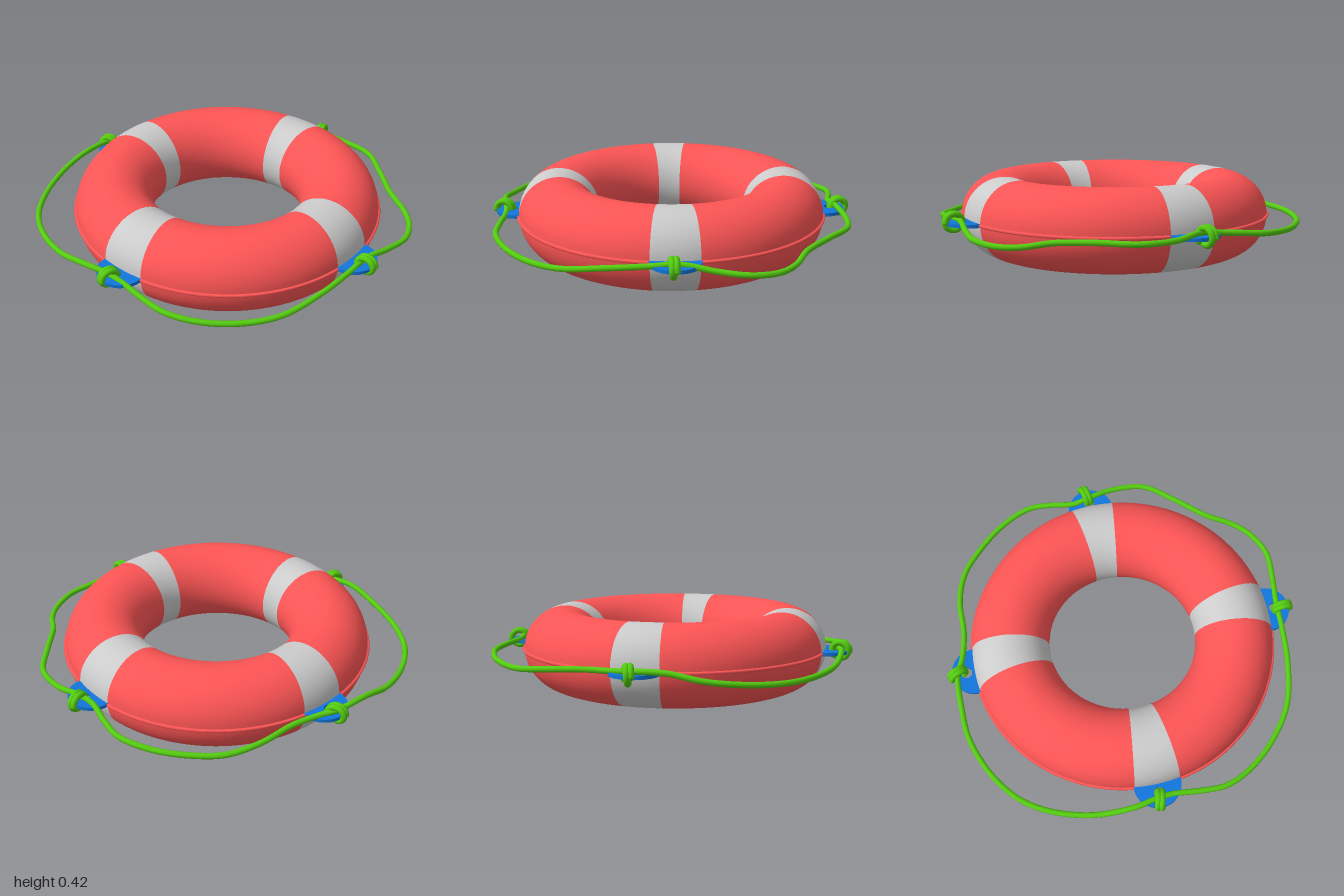
import * as THREE from 'three';

const CX = 0.03, CY = 0.21;      // ring centre
const R = 0.603, r = 0.208;      // ring and tube radius
const rad = THREE.MathUtils.degToRad;

const mat = (color, side = THREE.FrontSide) => new THREE.MeshStandardMaterial({ color, side });
const red = mat(0xff5555, THREE.DoubleSide);
const grey = mat(0xcccccc, THREE.DoubleSide);
const blue = mat(0x1177dd);
const green = mat(0x55cc11);

function add(parent, name, geometry, material) {
  const mesh = new THREE.Mesh(geometry, material);
  mesh.name = name;
  parent.add(mesh);
  return mesh;
}

// Arc of the ring, centred on an angle in degrees
function arc(profile, centre, width, segments) {
  return new THREE.LatheGeometry(profile, segments, rad(centre - width / 2), rad(width));
}

export function createModel() {
  const group = new THREE.Group();
  group.name = 'lifebuoy';

  const ring = new THREE.Group();
  ring.name = 'ring';
  ring.position.set(CX, CY, 0);
  group.add(ring);

  const tube = [];
  for (let i = 0; i <= 48; i++) {
    const t = (i / 48) * Math.PI * 2;
    tube.push(new THREE.Vector2(R + r * Math.cos(t), r * Math.sin(t)));
  }
  const seam = [[0.795, -0.012], [0.818, -0.007], [0.822, 0], [0.818, 0.007], [0.795, 0.012]]
    .map(([x, y]) => new THREE.Vector2(x, y));

  // Tab: a disc half sunk in the ring, with an eyelet
  const tabShape = new THREE.Shape().absarc(0, 0, 0.124, 0, Math.PI * 2);
  tabShape.holes.push(new THREE.Path().absarc(0.047, 0, 0.03, 0, Math.PI * 2, true));
  const tabGeo = new THREE.ExtrudeGeometry(tabShape, { depth: 0.018, bevelEnabled: false, curveSegments: 32 });
  tabGeo.translate(0, 0, -0.009).rotateX(-Math.PI / 2);

  for (let i = 0; i < 4; i++) {
    add(ring, 'redSection', arc(tube, i * 90, 73, 40), red);
    add(ring, 'seam', arc(seam, i * 90, 73, 40), red);
    add(ring, 'greyBand', arc(tube, i * 90 + 45, 17, 10), grey);
    const a = rad(i * 90 + 45);
    const tab = add(ring, 'tab', tabGeo, blue);
    tab.position.set(0.808 * Math.cos(a), 0, -0.808 * Math.sin(a));
    tab.rotation.y = a;
  }

  // Grab rope, slack between the four tabs
  const path = [
    [-0.61, 0.235, -0.635], [-0.53, 0.225, -0.665], [-0.4, 0.22, -0.745], [-0.25, 0.21, -0.88],
    [-0.1, 0.195, -0.955], [0.05, 0.19, -0.97], [0.25, 0.195, -0.95], [0.42, 0.205, -0.88],
    [0.5, 0.215, -0.79], [0.58, 0.225, -0.67], [0.65, 0.235, -0.62],
    [0.78, 0.215, -0.535], [0.89, 0.21, -0.4], [0.915, 0.21, -0.2], [0.93, 0.2, 0],
    [0.97, 0.18, 0.14], [0.972, 0.175, 0.26], [0.915, 0.185, 0.4], [0.8, 0.2, 0.5],
    [0.66, 0.225, 0.6], [0.55, 0.215, 0.7], [0.4, 0.2, 0.82], [0.2, 0.175, 0.93],
    [0, 0.168, 0.96], [-0.2, 0.178, 0.94], [-0.35, 0.195, 0.88], [-0.45, 0.205, 0.78],
    [-0.54, 0.215, 0.67], [-0.61, 0.23, 0.61], [-0.71, 0.235, 0.54],
    [-0.85, 0.2, 0.38], [-0.95, 0.185, 0.18], [-0.983, 0.18, 0], [-0.95, 0.185, -0.2],
    [-0.86, 0.205, -0.39], [-0.75, 0.235, -0.51],
  ].map((p) => new THREE.Vector3(...p));
  const rope = new THREE.CatmullRomCurve3(path, true);
  add(group, 'rope', new THREE.TubeGeometry(rope, 320, 0.015, 10, true), green);

  // Knots: short coils through the eyelets and round the tab edges
  const coil = [];
  for (let i = 0; i <= 28; i++) {
    const t = (i / 28) * Math.PI * 3.2;
    coil.push(new THREE.Vector3(0.043 * Math.cos(t), 0.041 * Math.sin(t), (i / 28 - 0.5) * 0.034));
  }
  const coilGeo = new THREE.TubeGeometry(new THREE.CatmullRomCurve3(coil), 90, 0.016, 10);
  // x, z and heading in degrees
  const knots = [[0.66, -0.645, 55], [-0.605, -0.64, 150], [-0.605, 0.625, 205], [0.655, 0.64, -48]];
  for (const [x, z, heading] of knots) {
    const knot = new THREE.Group();
    knot.name = 'knot';
    knot.position.set(x, 0.218, z);
    knot.rotation.y = rad(heading);
    group.add(knot);
    add(knot, 'coil', coilGeo, green);
    for (const end of [coil[0], coil[coil.length - 1]]) {
      add(knot, 'ropeEnd', new THREE.SphereGeometry(0.016, 10, 8), green).position.copy(end);
    }
  }
  return group;
}
